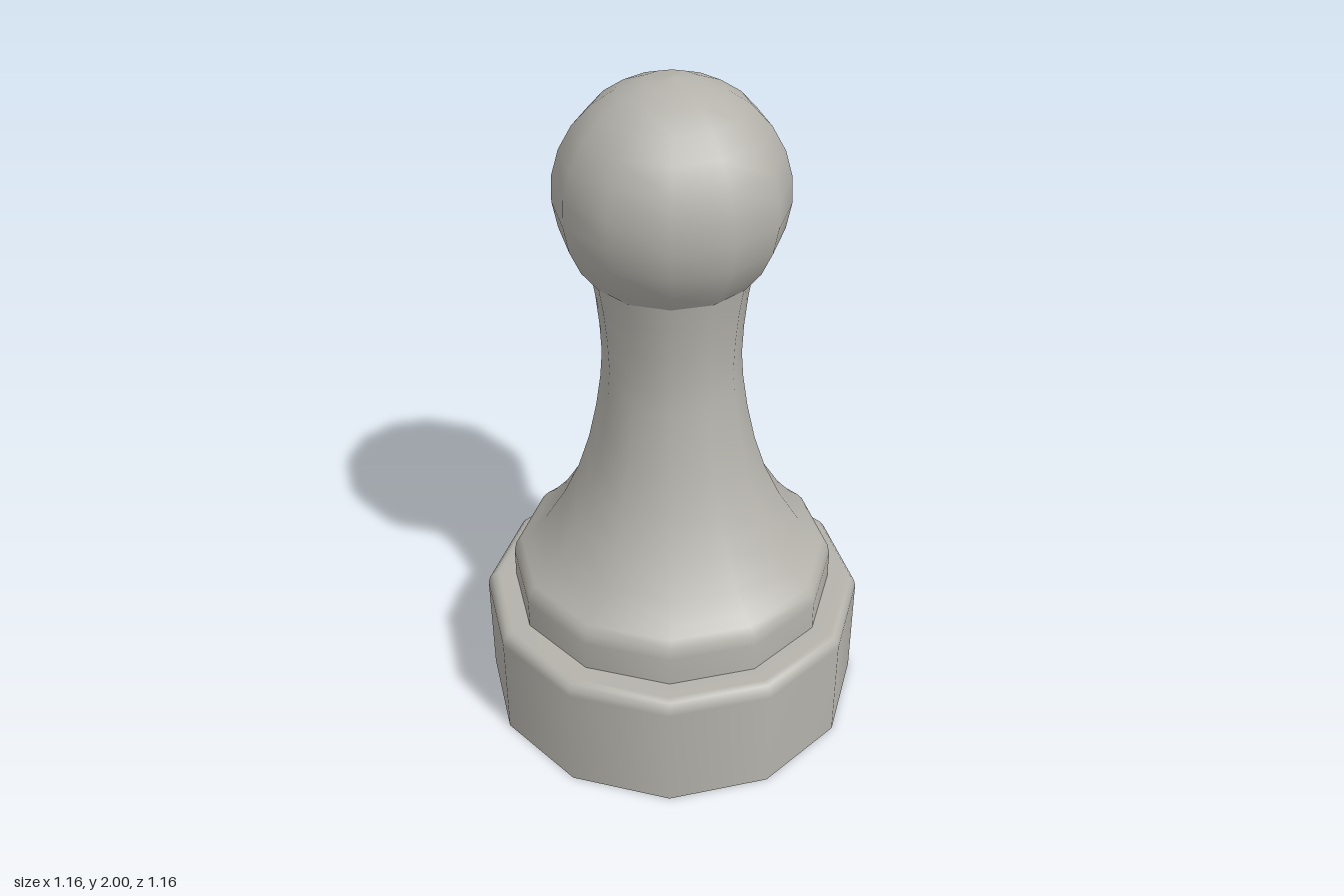
import * as THREE from 'three';

const SIDES = 12;
const TURN = -2.5 * Math.PI / 180; // slight twist of the twelve-sided outline

export function createModel() {
  const group = new THREE.Group();
  group.name = 'pawn';
  const stone = new THREE.MeshStandardMaterial({ color: 0xb4b2ab });
  stone.name = 'warm grey';

  // Turn a profile of [radius, height] points, listed from bottom to top
  function turned(name, profile) {
    const points = profile.map(([r, y]) => new THREE.Vector2(r, y));
    const mesh = new THREE.Mesh(new THREE.LatheGeometry(points, SIDES, TURN), stone);
    mesh.name = name;
    group.add(mesh);
  }

  // Base drum with a rounded upper rim, and its flat underside
  turned('underside', [[0, 0], [0.58, 0]]);
  turned('base', [
    [0.58, 0], [0.58, 0.335], [0.575, 0.355], [0.563, 0.37], [0.545, 0.375], [0.47, 0.375],
  ]);

  // Collar with a rounded shoulder, flowing into the flared neck
  turned('collarAndNeck', [
    [0.49, 0.375], [0.49, 0.465], [0.483, 0.497], [0.465, 0.518], [0.437, 0.54],
    [0.385, 0.6], [0.325, 0.695], [0.278, 0.795], [0.244, 0.9], [0.22, 1.01],
    [0.205, 1.11], [0.199, 1.19], [0.203, 1.28], [0.212, 1.37], [0.225, 1.45],
  ]);

  // Ball head, cut off where it meets the neck
  const head = [];
  const radius = 0.322, centre = 1.678, rings = 10;
  const start = -Math.PI * 0.25;
  for (let i = 0; i <= rings; i++) {
    const a = start + (Math.PI / 2 - start) * i / rings;
    head.push([i === rings ? 0 : radius * Math.cos(a), centre + radius * Math.sin(a)]);
  }
  turned('head', head);

  return group;
}
